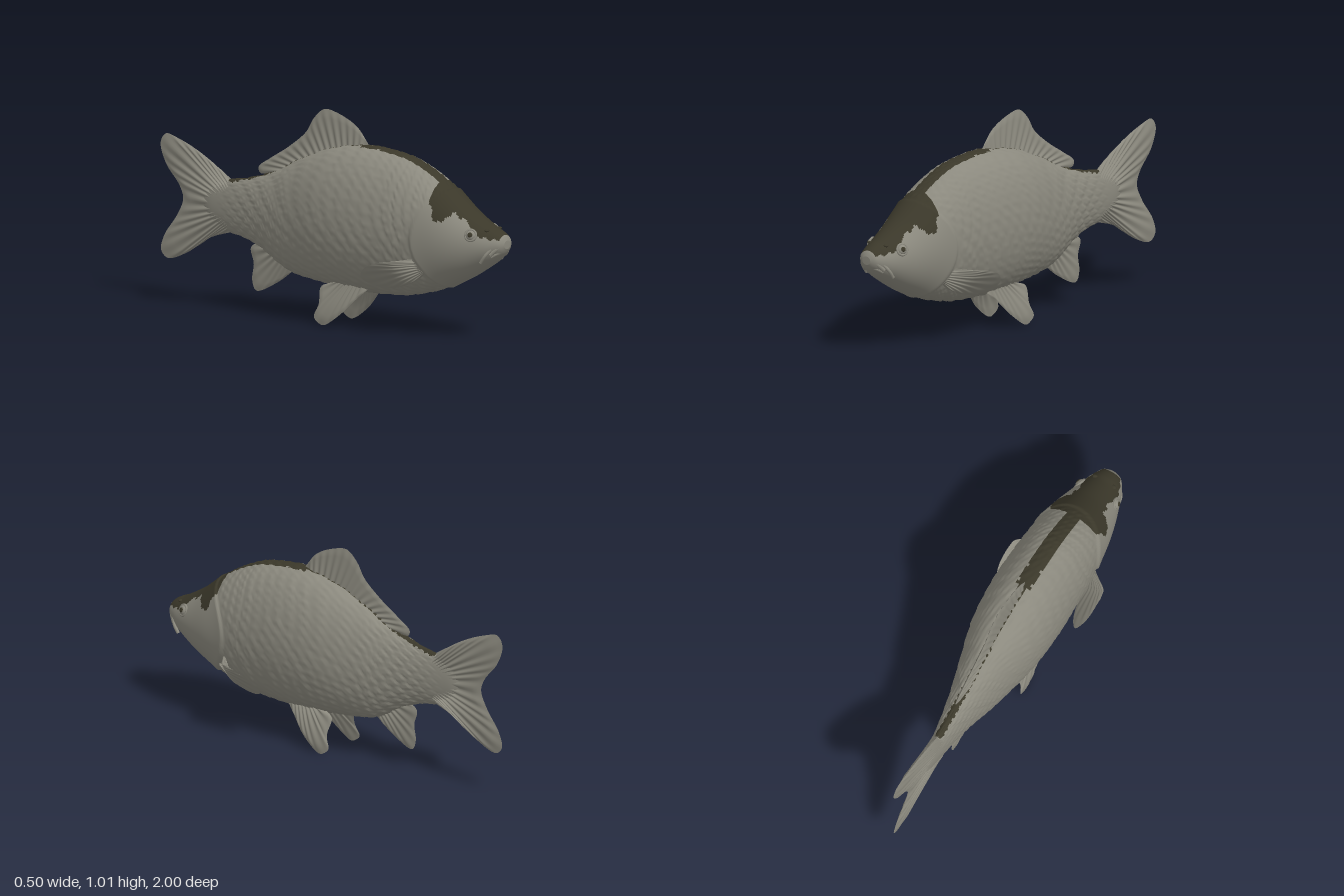
import * as THREE from 'three';

const skin = new THREE.MeshStandardMaterial({ color: 0x8b897e, side: THREE.DoubleSide });
skin.name = 'greyOliveSkin';
const dark = new THREE.MeshStandardMaterial({ color: 0x3b382a, side: THREE.DoubleSide });
dark.name = 'darkOliveBack';

// Body stations from snout to tail: z, top, bottom, half width
const STATIONS = [
  [1.0, 0.49, 0.45, 0.025], [0.985, 0.515, 0.425, 0.052], [0.95, 0.537, 0.39, 0.075],
  [0.9, 0.56, 0.355, 0.098], [0.8, 0.62, 0.295, 0.132], [0.7, 0.695, 0.25, 0.157],
  [0.6, 0.76, 0.215, 0.17], [0.5, 0.81, 0.19, 0.178], [0.4, 0.84, 0.175, 0.184],
  [0.2, 0.86, 0.17, 0.189], [0, 0.83, 0.185, 0.172], [-0.2, 0.752, 0.212, 0.122],
  [-0.3, 0.7, 0.25, 0.095], [-0.4, 0.662, 0.31, 0.07], [-0.5, 0.635, 0.35, 0.05],
  [-0.6, 0.62, 0.37, 0.036], [-0.7, 0.59, 0.41, 0.024], [-0.76, 0.53, 0.47, 0.006],
];

// Lower edge of the dark head patch: z, y
const PATCH = [
  [0.62, 0.67], [0.66, 0.64], [0.675, 0.575], [0.72, 0.57], [0.76, 0.61],
  [0.84, 0.56], [0.89, 0.51], [0.97, 0.495], [1.0, 0.5],
];

function patchEdge(z) {
  for (let i = 1; i < PATCH.length; i++) {
    const [z0, y0] = PATCH[i - 1], [z1, y1] = PATCH[i];
    if (z <= z1) return y0 + (y1 - y0) * (z - z0) / (z1 - z0);
  }
  return 1;
}

function isDark(x, y, z) {
  const jag = 0.006 * Math.sin(z * 170 + y * 90);
  if (z > 0.635 && z < 0.985) return y > patchEdge(z) + jag;
  if (z > 0.985 || z < -0.6 || y < 0.58) return false;
  return Math.abs(x) < (z > 0.18 ? 0.037 : 0.017) + jag * 0.5;
}

// Relief: overlapping scales behind the gill edge, a raised gill cover before it
function relief(y, z, arc) {
  const gill = 0.555 + 2.4 * (y - 0.47) ** 2;
  if (z > gill) return 0.011 * Math.exp(-(z - gill) / 0.07) * Math.min(1, (z - gill) / 0.012);
  const row = arc / 0.042, n = Math.floor(row), v = row - n - 0.5;
  let u = (gill - z) / 0.07 + (n % 2 ? 0.5 : 0) + v * v * 1.6;
  u -= Math.floor(u);
  const fade = Math.min(1, (gill - z) / 0.05) * THREE.MathUtils.clamp((z + 0.66) / 0.2, 0, 1);
  return fade * (0.0055 * (u < 0.8 ? u / 0.8 : (1 - u) / 0.2) - 0.0045 * v * v * 4 * 0.5);
}

function makeBody() {
  const RINGS = 220, SIDES = 120;
  const zCurve = new THREE.SplineCurve(STATIONS.map(s => new THREE.Vector2(s[0], s[3])));
  const yCurve = new THREE.SplineCurve(STATIONS.map(s => new THREE.Vector2(s[1], s[2])));
  const pos = [], light = [], shade = [];
  for (let i = 0; i <= RINGS; i++) {
    const { x: z, y: w } = zCurve.getPoint(i / RINGS);
    const { x: top, y: bottom } = yCurve.getPoint(i / RINGS);
    const mid = (top + bottom) / 2, h = (top - bottom) / 2;
    for (let j = 0; j < SIDES; j++) {
      const a = j / SIDES * Math.PI * 2, side = a > Math.PI ? Math.PI * 2 - a : a;
      const y = mid + h * Math.cos(a);
      const d = relief(y, z, side * (0.55 * h + 0.1));
      pos.push((w + d) * Math.sin(a), y + d * Math.cos(a), z);
    }
  }
  const end = pos.length / 3;
  pos.push(0, 0.47, 1.0, 0, 0.5, -0.765);
  const face = (...f) => {
    const c = [0, 1, 2].map(k => f.reduce((s, n) => s + pos[n * 3 + k], 0) / f.length);
    const list = isDark(...c) ? shade : light;
    list.push(f[0], f[1], f[2]);
    if (f.length === 4) list.push(f[0], f[2], f[3]);
  };
  for (let j = 0; j < SIDES; j++) {
    const k = (j + 1) % SIDES, last = RINGS * SIDES;
    for (let i = 0; i < RINGS; i++) {
      const r = i * SIDES;
      face(r + j, r + k, r + SIDES + k, r + SIDES + j);
    }
    face(end, k, j);
    face(end + 1, last + j, last + k);
  }
  const g = new THREE.BufferGeometry();
  g.setAttribute('position', new THREE.Float32BufferAttribute(pos, 3));
  g.setIndex([...light, ...shade]);
  g.addGroup(0, light.length, 0);
  g.addGroup(light.length, shade.length, 1);
  g.computeVertexNormals();
  const m = new THREE.Mesh(g, [skin, dark]);
  m.name = 'body';
  return m;
}

// Fin: two ribbed sheets between a root line and an outer edge, both as (z, y) points.
// sideways(z, y) gives the x of the fin's middle surface.
function makeFin(name, root, edge, thick, rays, sideways = () => 0) {
  const curve = p => new THREE.CatmullRomCurve3(p.map(([z, y]) => new THREE.Vector3(0, y, z)), false, 'centripetal');
  const inner = curve(root), outer = curve(edge);
  const S = rays * 6, T = 14, pos = [], index = [], p = new THREE.Vector3();
  for (const sign of [1, -1]) {
    const base = pos.length / 3;
    for (let i = 0; i <= S; i++) {
      const s = i / S, a = inner.getPointAt(s), b = outer.getPointAt(s);
      for (let j = 0; j <= T; j++) {
        const t = j / T;
        p.lerpVectors(a, b, t);
        const rim = Math.min(1, s * 14, (1 - s) * 14, (1 - t) * 8);
        const rib = 1 + 0.28 * Math.cos(s * rays * Math.PI * 2);
        pos.push(sideways(p.z, p.y) + sign * thick * (1 - 0.75 * t) * rim * rib, p.y, p.z);
        if (i < S && j < T) {
          const n = base + i * (T + 1) + j, m = n + T + 1;
          if (sign > 0) index.push(n, n + 1, m, m, n + 1, m + 1);
          else index.push(n, m, n + 1, m, m + 1, n + 1);
        }
      }
    }
  }
  const g = new THREE.BufferGeometry();
  g.setAttribute('position', new THREE.Float32BufferAttribute(pos, 3));
  g.setIndex(index);
  g.computeVertexNormals();
  const m = new THREE.Mesh(g, skin);
  m.name = name;
  return m;
}

function makeTube(name, points, radius) {
  const path = new THREE.CatmullRomCurve3(points.map(q => new THREE.Vector3(...q)));
  const m = new THREE.Mesh(new THREE.TubeGeometry(path, 28, radius, 8), skin);
  m.name = name;
  return m;
}

// Eye: ball, raised rim and a thin pupil facing outwards
function makeEye() {
  const eye = new THREE.Group();
  const ball = new THREE.Mesh(new THREE.SphereGeometry(0.024, 20, 14), skin);
  ball.scale.z = 0.6;
  const rim = new THREE.Mesh(new THREE.TorusGeometry(0.026, 0.006, 8, 28), skin);
  const pupil = new THREE.Mesh(new THREE.SphereGeometry(0.012, 16, 10), dark);
  pupil.scale.z = 0.35;
  pupil.position.z = 0.0125;
  ball.name = 'eyeball'; rim.name = 'eyeRim'; pupil.name = 'pupil';
  eye.add(ball, rim, pupil);
  eye.position.set(0.1, 0.515, 0.86);
  eye.rotation.set(-0.3, 1.25, 0, 'YXZ');
  return eye;
}

export function createModel() {
  const fish = new THREE.Group();
  fish.name = 'fish';
  fish.add(makeBody());

  // Fins on the centre line
  fish.add(makeFin('dorsalFin',
    [[0.19, 0.84], [0, 0.8], [-0.2, 0.73], [-0.33, 0.665]],
    [[0.2, 0.865], [0.13, 0.945], [0.01, 1.0], [-0.055, 1.008], [-0.115, 0.96], [-0.16, 0.89],
      [-0.26, 0.81], [-0.365, 0.745], [-0.435, 0.695], [-0.425, 0.667], [-0.34, 0.68]], 0.017, 18));
  fish.add(makeFin('tailFin',
    [[-0.58, 0.605], [-0.62, 0.55], [-0.63, 0.5], [-0.62, 0.44], [-0.58, 0.385]],
    [[-0.59, 0.62], [-0.77, 0.73], [-0.9, 0.785], [-0.97, 0.8], [-1, 0.755], [-0.97, 0.66],
      [-0.89, 0.56], [-0.87, 0.5], [-0.905, 0.42], [-0.98, 0.315], [-0.997, 0.245],
      [-0.96, 0.21], [-0.85, 0.245], [-0.715, 0.33], [-0.59, 0.37]], 0.023, 20));
  fish.add(makeFin('analFin',
    [[-0.22, 0.25], [-0.3, 0.29], [-0.38, 0.34]],
    [[-0.23, 0.225], [-0.33, 0.155], [-0.45, 0.107], [-0.472, 0.155], [-0.463, 0.235],
      [-0.48, 0.305], [-0.45, 0.33], [-0.38, 0.315]], 0.015, 9));

  // Paired parts, mirrored for the right side
  for (const [label, mirror] of [['left', 1], ['right', -1]]) {
    const half = new THREE.Group();
    half.name = label + 'Side';
    half.scale.x = mirror;
    half.add(makeFin('pelvicFin',
      [[0.24, 0.215], [0.16, 0.22], [0.06, 0.215]],
      [[0.25, 0.195], [0.195, 0.145], [0.115, 0.065], [0.02, 0.005], [-0.01, 0.015],
        [-0.035, 0.04], [-0.015, 0.1], [-0.022, 0.18], [0.03, 0.2]], 0.016, 9,
      (z, y) => 0.06 + 0.055 * Math.sin(Math.min(1, (0.21 - y) / 0.2) * Math.PI / 2)));
    half.add(makeFin('pectoralFin',
      [[0.59, 0.365], [0.61, 0.335], [0.61, 0.305]],
      [[0.56, 0.38], [0.435, 0.362], [0.345, 0.325], [0.305, 0.272], [0.345, 0.24],
        [0.435, 0.228], [0.54, 0.258], [0.605, 0.3]], 0.014, 10,
      (z, y) => THREE.MathUtils.lerp(0.12, 0.165 + (0.6 - z) * 0.22 + (y - 0.3) * 0.8,
        THREE.MathUtils.smoothstep(0.61 - z, 0, 0.12))));
    const eye = makeEye();
    eye.name = 'eye';
    half.add(eye);
    const nostril = new THREE.Mesh(new THREE.SphereGeometry(0.011, 12, 8), dark);
    nostril.name = 'nostril';
    nostril.scale.set(1.3, 0.6, 1);
    nostril.position.set(0.05, 0.535, 0.918);
    half.add(nostril);
    half.add(makeTube('cheekFold', [[0.062, 0.455, 0.955], [0.082, 0.42, 0.93], [0.084, 0.385, 0.905]], 0.008));
    fish.add(half);
  }

  // Downturned mouth
  fish.add(makeTube('upperLip',
    [[-0.065, 0.425, 0.945], [-0.04, 0.46, 0.978], [0, 0.472, 0.988], [0.04, 0.46, 0.978], [0.065, 0.425, 0.945]], 0.012));
  fish.add(makeTube('lowerLip',
    [[-0.058, 0.415, 0.945], [-0.035, 0.432, 0.97], [0, 0.438, 0.98], [0.035, 0.432, 0.97], [0.058, 0.415, 0.945]], 0.011));
  return fish;
}
